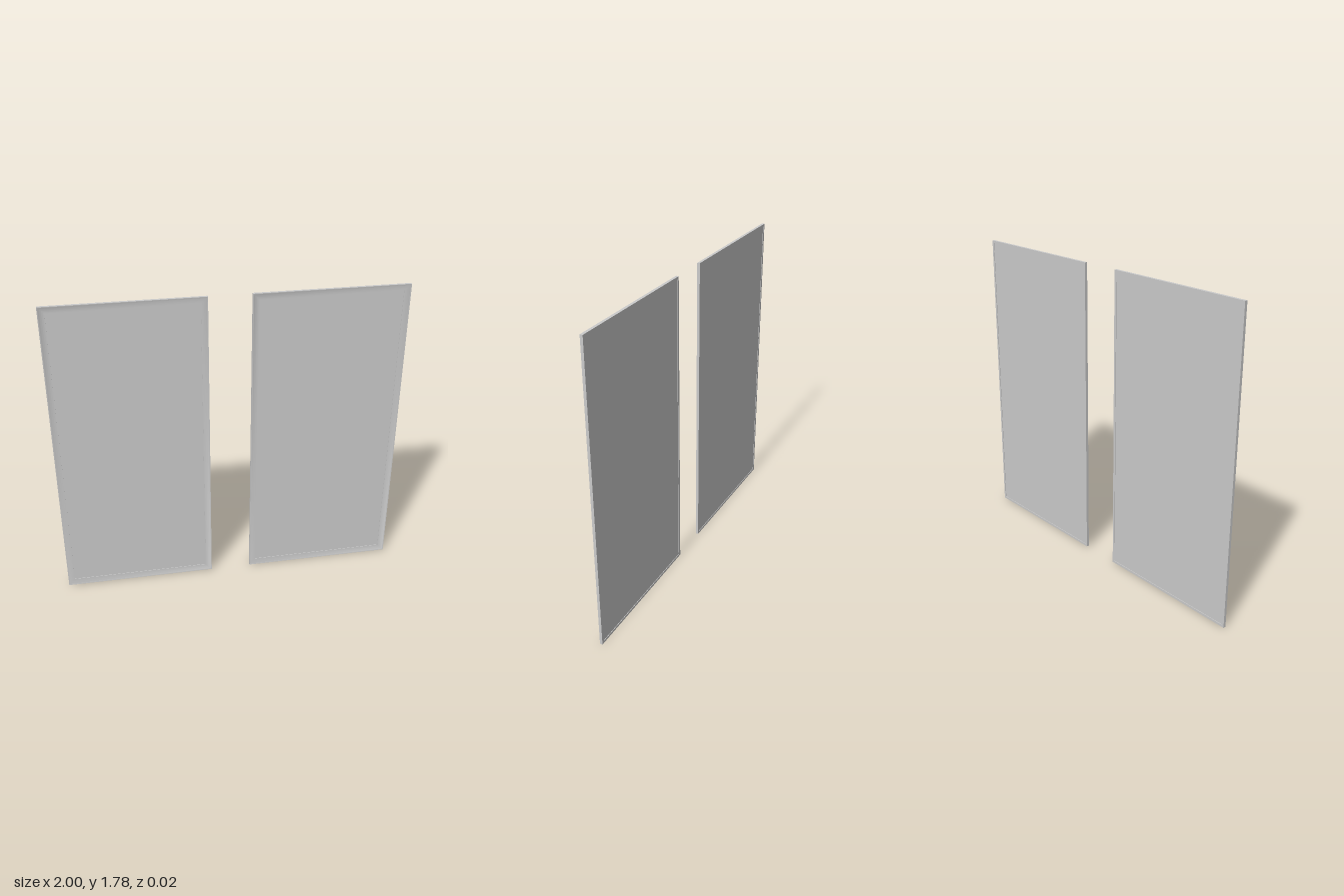
import * as THREE from 'three';
import { toCreasedNormals } from 'three/addons/utils/BufferGeometryUtils.js';

const WIDTH = 0.88, HEIGHT = 1.785, HALF_DEPTH = 0.008, RAIL = 0.037;
const PANEL_BACK = -0.005, PANEL_FRONT = -0.002, LIP = 0.014;

// Moulding section as [distance inward from the outer edge, z]
function mouldingProfile() {
  const points = [[0, -HALF_DEPTH], [0, HALF_DEPTH]];
  const steps = 8;
  for (let i = 0; i <= steps; i++) { // hollow slope falling towards the panel
    const t = i / steps;
    points.push([0.002 + (RAIL - 0.002) * t, 0.001 + (HALF_DEPTH - 0.001) * (1 - t) ** 2]);
  }
  // inner step, then the rebate that holds the panel from behind
  points.push([RAIL, PANEL_FRONT], [LIP, PANEL_FRONT], [LIP, -HALF_DEPTH]);
  return points;
}

// Sweeps a closed section around a rectangle with mitred corners
function mitredFrame(width, height, profile) {
  const corners = [[-1, -1], [1, -1], [1, 1], [-1, 1]];
  const point = (c, p) => {
    const [sx, sy] = corners[c % 4];
    const [d, z] = profile[p % profile.length];
    return [sx * (width / 2 - d), sy * (height / 2 - d), z];
  };
  const positions = [];
  for (let c = 0; c < 4; c++) {
    for (let p = 0; p < profile.length; p++) {
      const a = point(c, p), b = point(c + 1, p);
      const e = point(c + 1, p + 1), f = point(c, p + 1);
      positions.push(...a, ...b, ...e, ...a, ...e, ...f);
    }
  }
  const geometry = new THREE.BufferGeometry();
  geometry.setAttribute('position', new THREE.Float32BufferAttribute(positions, 3));
  return toCreasedNormals(geometry, 0.5);
}

export function createModel() {
  const model = new THREE.Group();
  model.name = 'framedPanelPair';
  const material = new THREE.MeshStandardMaterial({ color: 0xcccccc });

  const frameGeometry = mitredFrame(WIDTH, HEIGHT, mouldingProfile());
  const panelGeometry = new THREE.BoxGeometry(
    WIDTH - 2 * LIP, HEIGHT - 2 * LIP, PANEL_FRONT - PANEL_BACK);

  for (const [side, sign] of [['left', 1], ['right', -1]]) {
    const picture = new THREE.Group();
    picture.name = side + 'FramedPanel';
    picture.position.set(sign * (1 - WIDTH / 2), HEIGHT / 2, 0);

    const frame = new THREE.Mesh(frameGeometry, material);
    frame.name = side + 'Frame';

    const panel = new THREE.Mesh(panelGeometry, material);
    panel.name = side + 'Panel';
    panel.position.z = (PANEL_FRONT + PANEL_BACK) / 2;

    picture.add(frame, panel);
    model.add(picture);
  }
  return model;
}
